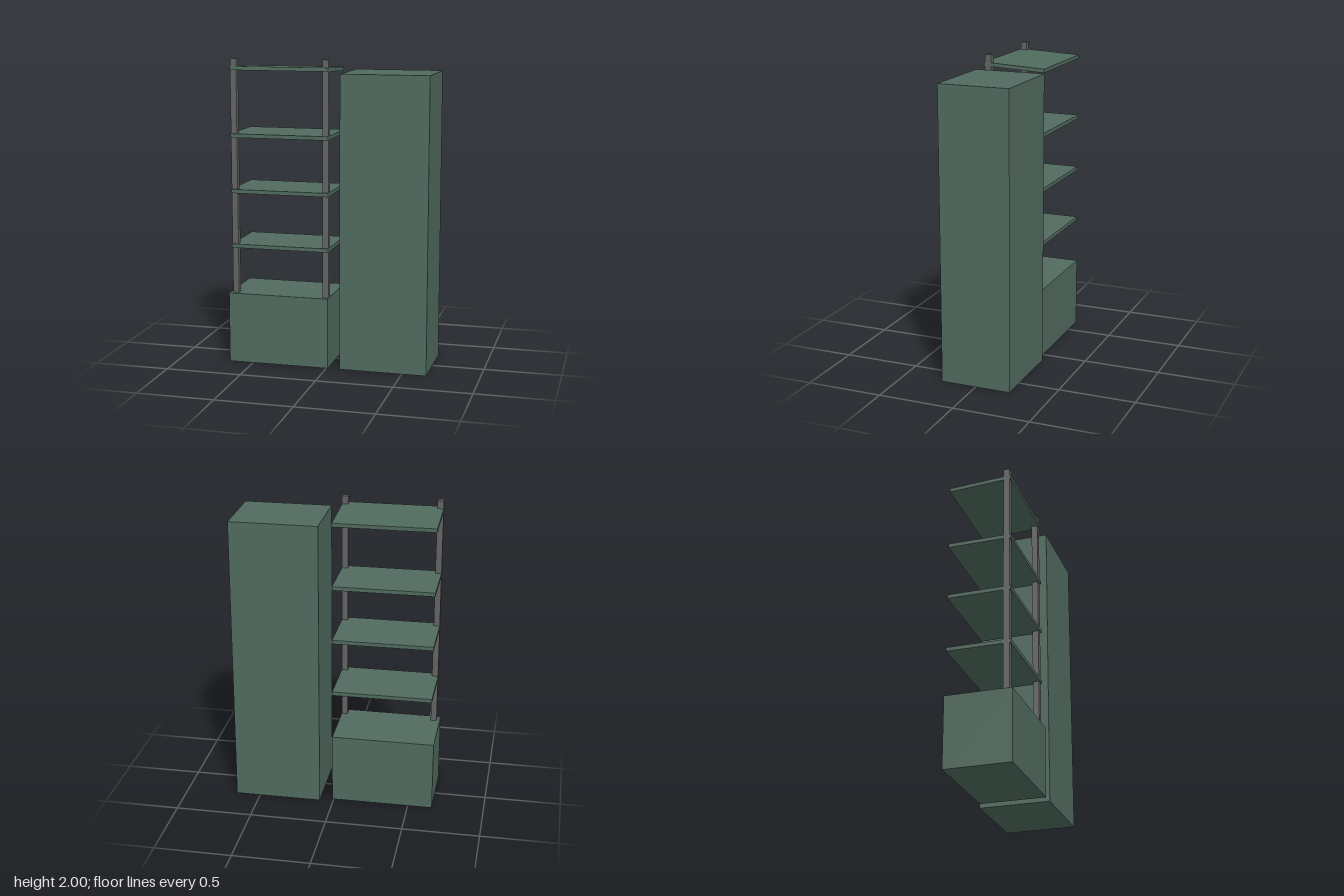
import * as THREE from 'three';

export function createModel() {
  const model = new THREE.Group();
  const green = new THREE.MeshStandardMaterial({ color: 0x506a5e });
  green.name = 'dark green';
  const grey = new THREE.MeshStandardMaterial({ color: 0x636363 });
  grey.name = 'post grey';

  // Box given by its extents on each axis
  function block(name, material, [x0, x1], [y0, y1], [z0, z1]) {
    const mesh = new THREE.Mesh(new THREE.BoxGeometry(x1 - x0, y1 - y0, z1 - z0), material);
    mesh.position.set((x0 + x1) / 2, (y0 + y1) / 2, (z0 + z1) / 2);
    mesh.name = name;
    model.add(mesh);
    return mesh;
  }

  // Closed cabinets
  block('tallCabinet', green, [0.09, 0.66], [0, 1.915], [-0.232, 0.232]);
  block('lowCabinet', green, [-0.66, 0.01], [0, 0.465], [-0.2, 0.232]);

  // Front posts standing on the low cabinet
  for (const x of [-0.64, -0.03]) {
    block('post', grey, [x, x + 0.04], [0.465, 2], [0.165, 0.205]);
  }

  // Open shelves, the top one sloping down to the back
  const shelves = [0.78, 1.142, 1.505, 1.928].map((y) =>
    block('shelf', green, [-0.64, 0.01], [y - 0.0125, y + 0.0125], [-0.2, 0.215]));
  shelves[3].name = 'topShelf';
  shelves[3].rotation.x = -0.05;

  return model;
}
